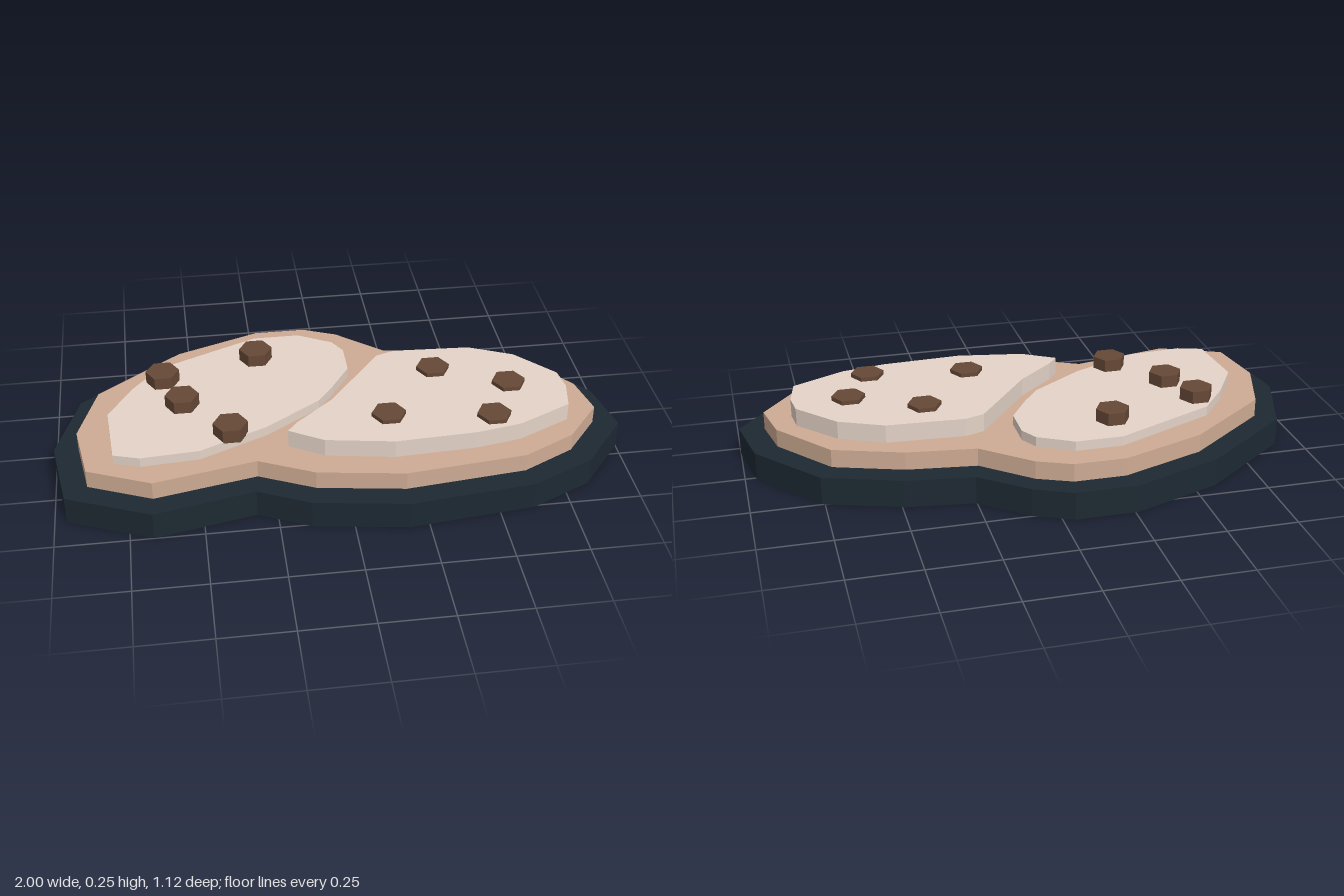
import * as THREE from 'three';

const SLATE = new THREE.MeshStandardMaterial({ color: 0x1d2932, side: THREE.DoubleSide });
SLATE.name = 'darkSlate';
const TAN = new THREE.MeshStandardMaterial({ color: 0xceab94, side: THREE.DoubleSide });
TAN.name = 'tan';
const PALE = new THREE.MeshStandardMaterial({ color: 0xe4d3c7, side: THREE.DoubleSide });
PALE.name = 'paleStone';
const BROWN = new THREE.MeshStandardMaterial({ color: 0x664836 });
BROWN.name = 'brown';

// Outlines as [x, z], clockwise seen from above
const OUTER = [[-.26, -.557], [-.04, -.557], [.092, -.497], [.253, -.367], [.49, -.337], [.76, -.247],
  [.96, -.008], [1, .203], [.84, .403], [.622, .508], [.182, .558], [-.143, .508], [-.32, .423],
  [-.67, .499], [-.96, .375], [-1, .098], [-.91, -.182], [-.58, -.437]];
const INNER = [[-.24, -.478], [-.057, -.478], [.063, -.427], [.228, -.287], [.473, -.257], [.713, -.177],
  [.878, .028], [.91, .183], [.788, .335], [.603, .43], [.182, .476], [-.118, .43], [-.308, .34],
  [-.665, .415], [-.883, .32], [-.915, .098], [-.84, -.137], [-.54, -.367]];
const LEFT_PLATE = [[-.255, -.384], [-.088, -.384], [.033, -.318], [.068, -.257], [.068, -.132],
  [-.002, -.022], [-.063, .06], [-.258, .194], [-.498, .304], [-.7, .319], [-.79, .29],
  [-.805, .048], [-.715, -.102], [-.618, -.222]];
const RIGHT_PLATE = [[.247, -.181], [.523, -.167], [.678, -.097], [.805, .043], [.815, .128], [.793, .243],
  [.603, .335], [.443, .365], [.158, .38], [-.078, .34], [-.195, .27], [-.158, .224],
  [-.023, .104], [.178, -.157]];

const points = (outline) => outline.map(([x, z]) => new THREE.Vector2(x, -z));

function add(group, name, geometry, material) {
  const mesh = new THREE.Mesh(geometry, material);
  mesh.name = name;
  group.add(mesh);
  return mesh;
}

// Flat upward sheet at height y
function sheet(outline, y) {
  return new THREE.ShapeGeometry(new THREE.Shape(points(outline))).rotateX(-Math.PI / 2).translate(0, y, 0);
}

// Faceted upright band following an outline
function wall(outline, y0, y1) {
  const pos = [];
  outline.forEach(([ax, az], i) => {
    const [bx, bz] = outline[(i + 1) % outline.length];
    pos.push(ax, y0, az, ax, y1, az, bx, y1, bz);
    pos.push(ax, y0, az, bx, y1, bz, bx, y0, bz);
  });
  const geometry = new THREE.BufferGeometry();
  geometry.setAttribute('position', new THREE.Float32BufferAttribute(pos, 3));
  geometry.computeVertexNormals();
  return geometry;
}

// Lid-like layer: a wall and a top, open underneath
function layer(group, name, outline, y0, y1, material) {
  add(group, name + 'Wall', wall(outline, y0, y1), material);
  add(group, name + 'Top', sheet(outline, y1), material);
}

export function createModel() {
  const model = new THREE.Group();
  model.name = 'steppedBase';

  // Hollow base, and a step whose skirt hangs below the base's top
  layer(model, 'base', OUTER, 0, .1, SLATE);
  layer(model, 'step', INNER, .05, .165, TAN);

  // Two raised plates
  layer(model, 'lowPlate', LEFT_PLATE, .15, .2, PALE);
  layer(model, 'highPlate', RIGHT_PLATE, .15, .23, PALE);

  // Hexagonal studs, four on each plate, all ending at the same height
  const studs = [
    { y: .195, at: [[-.26, -.243], [-.605, -.138], [-.543, .023], [-.387, .214]] },
    { y: .225, at: [[.365, -.042], [.615, .084], [.16, .224], [.52, .274]] },
  ];
  for (const { y, at } of studs) {
    const h = .245 - y;
    const geometry = new THREE.CylinderGeometry(.06, .06, h, 6).toNonIndexed().rotateY(Math.PI / 6);
    geometry.computeVertexNormals();
    for (const [x, z] of at) add(model, 'stud', geometry, BROWN).position.set(x, y + h / 2, z);
  }
  return model;
}
